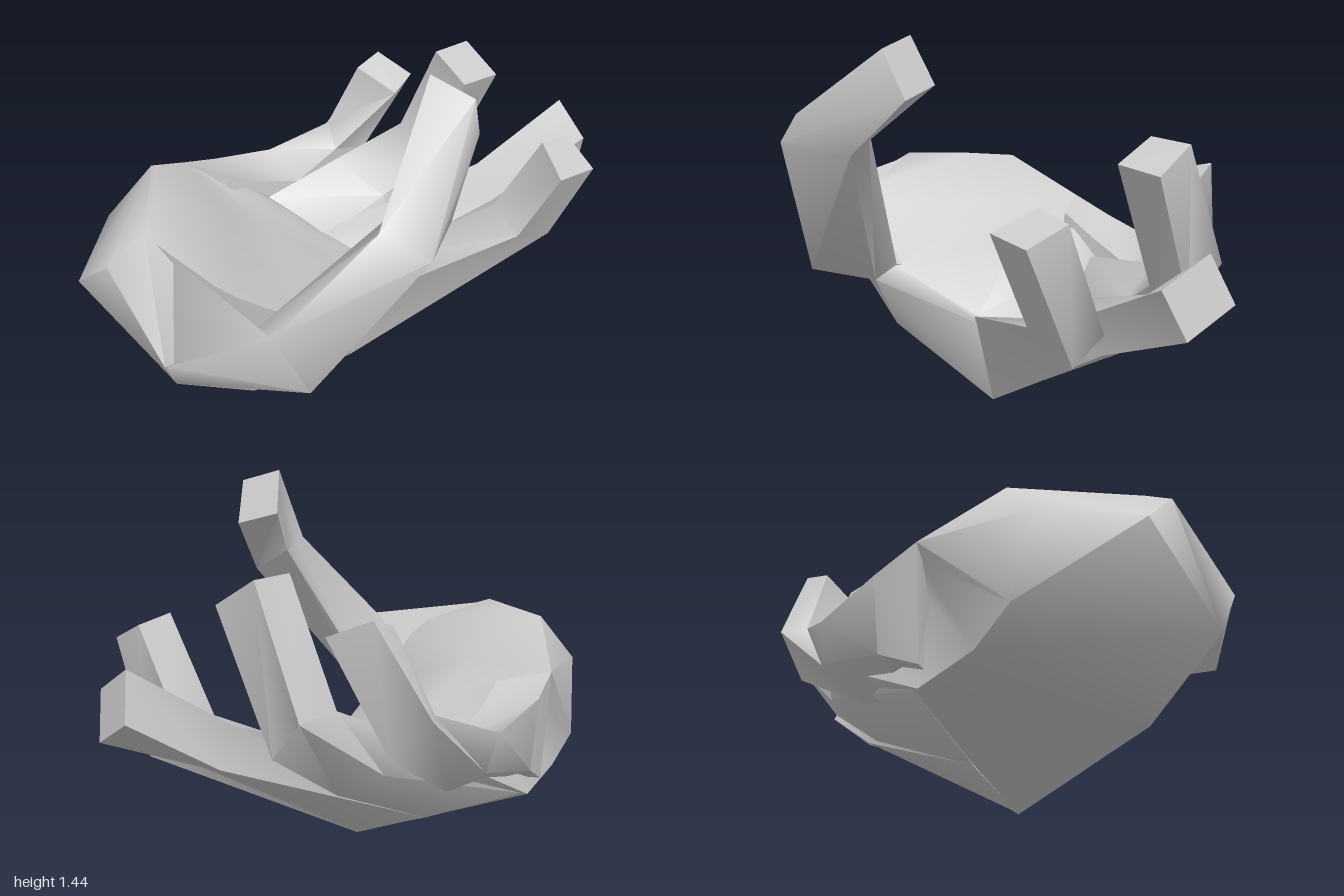
import * as THREE from 'three';
import { toCreasedNormals } from 'three/addons/utils/BufferGeometryUtils.js';

const material = new THREE.MeshStandardMaterial({ color: 0xcccccc, side: THREE.DoubleSide });

// Skin a list of equal-length rings, cap both ends and turn the faces outward.
function loft(name, rings) {
  const n = rings[0].length;
  const points = rings.flat().map((p) => new THREE.Vector3(...p));
  const faces = [];
  for (let r = 0; r < rings.length - 1; r++) {
    for (let i = 0; i < n; i++) {
      const a = r * n + i, b = r * n + (i + 1) % n;
      faces.push([a, b, b + n], [a, b + n, a + n]);
    }
  }
  const end = (rings.length - 1) * n;
  for (let i = 1; i < n - 1; i++) {
    faces.push([0, i + 1, i], [end, end + i, end + i + 1]);
  }
  let volume = 0;
  const cross = new THREE.Vector3();
  for (const [a, b, c] of faces) volume += points[a].dot(cross.crossVectors(points[b], points[c]));
  if (volume < 0) faces.forEach((f) => f.reverse());

  const geometry = new THREE.BufferGeometry().setFromPoints(points);
  geometry.setIndex(faces.flat());
  const mesh = new THREE.Mesh(toCreasedNormals(geometry, 1.1), material);
  mesh.name = name;
  return mesh;
}

export function createModel() {
  const hand = new THREE.Group();
  hand.name = 'cuppedHand';

  // Palm, from the wrist cut over the thick heel to the finger roots.
  // Ring order: little-finger rim, hollow, index rim, index back, middle back, little-finger back.
  hand.add(loft('palm', [
    [[-0.6, 0.87, 0.47], [-0.43, 0.89, 0.61], [-0.29, 0.89, 0.81], [-0.36, 0.8, 0.93], [-0.54, 0.65, 0.92], [-0.7, 0.69, 0.62]],
    [[-0.71, 0.7, 0.2], [-0.35, 0.71, 0.37], [0.17, 0.74, 0.86], [-0.06, 0.57, 1], [-0.07, 0.45, 0.95], [-0.72, 0.39, 0.55]],
    [[-0.64, 0.67, 0.17], [-0.28, 0.58, 0.22], [0.14, 0.51, 0.52], [0.18, 0.45, 0.6], [0, 0.21, 0.65], [-0.68, 0.29, 0.4]],
    [[-0.55, 0.62, 0.1], [-0.25, 0.46, 0.03], [0.14, 0.38, 0.11], [0.15, 0.35, 0.11], [0.04, 0, 0.12], [-0.64, 0.23, 0.17]],
    [[-0.54, 0.46, -0.1], [-0.23, 0.36, -0.12], [0.03, 0.34, -0.1], [0.04, 0.28, -0.08], [-0.05, 0.17, -0.06], [-0.56, 0.36, -0.1]],
  ]));

  // Thumb with its fleshy mound: root, base, knuckle, tip.
  hand.add(loft('thumb', [
    [[-0.29, 0.88, 0.8], [-0.06, 0.57, 0.995], [-0.07, 0.45, 0.95], [0, 0.23, 0.64], [-0.1, 0.48, 0.4]],
    [[0.21, 0.765, 0.83], [0.3, 0.79, 0.87], [0.36, 0.51, 0.77], [0.18, 0.45, 0.6], [0.14, 0.52, 0.52]],
    [[0.49, 1.13, 0.5], [0.53, 1.15, 0.64], [0.675, 1.07, 0.57], [0.59, 1.03, 0.32], [0.46, 1.11, 0.35]],
    [[0.395, 1.355, 0.15], [0.41, 1.44, 0.19], [0.57, 1.4, 0.18], [0.55, 1.23, 0.1], [0.38, 1.27, 0.11]],
  ]));

  // Fingers: root, knuckle, tip, with a middle ring on the two smallest.
  hand.add(loft('indexFinger', [
    [[0.155, 0.375, 0.12], [0.04, 0, 0.12], [-0.02, 0.04, 0.1], [0.01, 0.365, -0.08]],
    [[0.51, 0.52, -0.36], [0.55, 0.43, -0.56], [0.39, 0.5, -0.58], [0.36, 0.57, -0.43]],
    [[0.67, 0.86, -0.33], [0.72, 0.84, -0.5], [0.58, 0.9, -0.56], [0.54, 0.93, -0.42]],
  ]));
  hand.add(loft('middleFinger', [
    [[0.04, 0.01, 0.11], [-0.25, 0.1, 0.12], [-0.25, 0.38, -0.08], [0.04, 0.365, -0.08]],
    [[0.34, 0.41, -0.55], [0.19, 0.45, -0.68], [0.17, 0.59, -0.62], [0.32, 0.54, -0.49]],
    [[0.49, 0.57, -0.92], [0.33, 0.66, -1], [0.37, 0.82, -0.93], [0.53, 0.73, -0.85]],
  ]));
  hand.add(loft('ringFinger', [
    [[-0.21, 0.38, -0.08], [-0.25, 0.1, 0.12], [-0.62, 0.24, 0.14], [-0.47, 0.5, -0.02]],
    [[-0.13, 0.45, -0.37], [-0.11, 0.32, -0.4], [-0.31, 0.43, -0.46], [-0.38, 0.54, -0.36]],
    [[-0.02, 0.56, -0.53], [-0.01, 0.51, -0.69], [-0.14, 0.65, -0.75], [-0.2, 0.67, -0.6]],
    [[0.16, 1.02, -0.49], [0.2, 1, -0.67], [0.04, 1.09, -0.7], [0, 1.1, -0.53]],
  ]));
  hand.add(loft('littleFinger', [
    [[-0.52, 0.66, 0.14], [-0.48, 0.3, 0.14], [-0.68, 0.29, 0.2], [-0.71, 0.7, 0.2]],
    [[-0.5, 0.58, 0], [-0.46, 0.28, 0.04], [-0.68, 0.36, 0.04], [-0.705, 0.63, 0.03]],
    [[-0.455, 0.49, -0.2], [-0.44, 0.32, -0.2], [-0.6, 0.42, -0.26], [-0.64, 0.56, -0.24]],
    [[-0.41, 0.56, -0.41], [-0.37, 0.51, -0.56], [-0.51, 0.65, -0.55], [-0.48, 0.65, -0.45]],
    [[-0.16, 0.88, -0.49], [-0.17, 0.91, -0.62], [-0.33, 0.97, -0.61], [-0.35, 0.94, -0.49]],
  ]));

  return hand;
}
